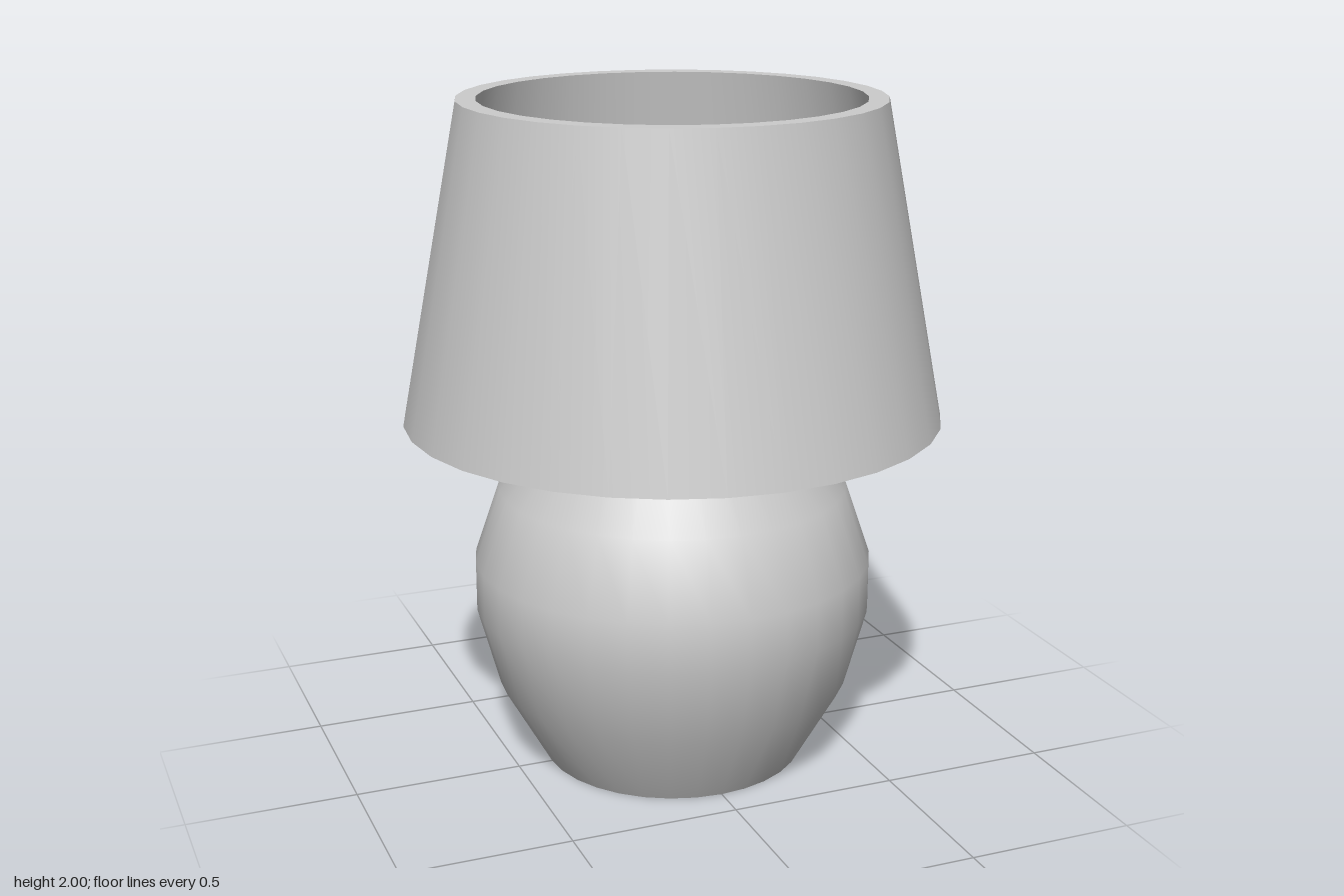
import * as THREE from 'three';
import { toCreasedNormals } from 'three/addons/utils/BufferGeometryUtils.js';

const SEGMENTS = 32;

// Revolve an [radius, height] profile; soft curves stay smooth, rims stay sharp
function turned(name, profile, material) {
  const points = profile.map(([r, y]) => new THREE.Vector2(r, y));
  const geometry = toCreasedNormals(new THREE.LatheGeometry(points, SEGMENTS), Math.PI / 4);
  const mesh = new THREE.Mesh(geometry, material);
  mesh.name = name;
  return mesh;
}

export function createModel() {
  const group = new THREE.Group();
  group.name = 'tableLamp';
  const grey = new THREE.MeshStandardMaterial({ color: 0xcccccc });

  // Rounded vase-like base, closed at both ends
  group.add(turned('base', [
    [0, 0], [0.395, 0], [0.53, 0.24], [0.595, 0.48], [0.595, 0.63],
    [0.52, 0.85], [0.297, 1.145], [0, 1.145],
  ], grey));

  // Short socket on top of the base
  group.add(turned('socket', [[0.137, 1.145], [0.137, 1.285], [0, 1.285]], grey));

  // Thick tapered shade, open at top and bottom
  group.add(turned('shade', [
    [0.715, 1.065], [0.793, 1.065], [0.615, 2], [0.557, 2], [0.715, 1.065],
  ], grey));

  return group;
}
